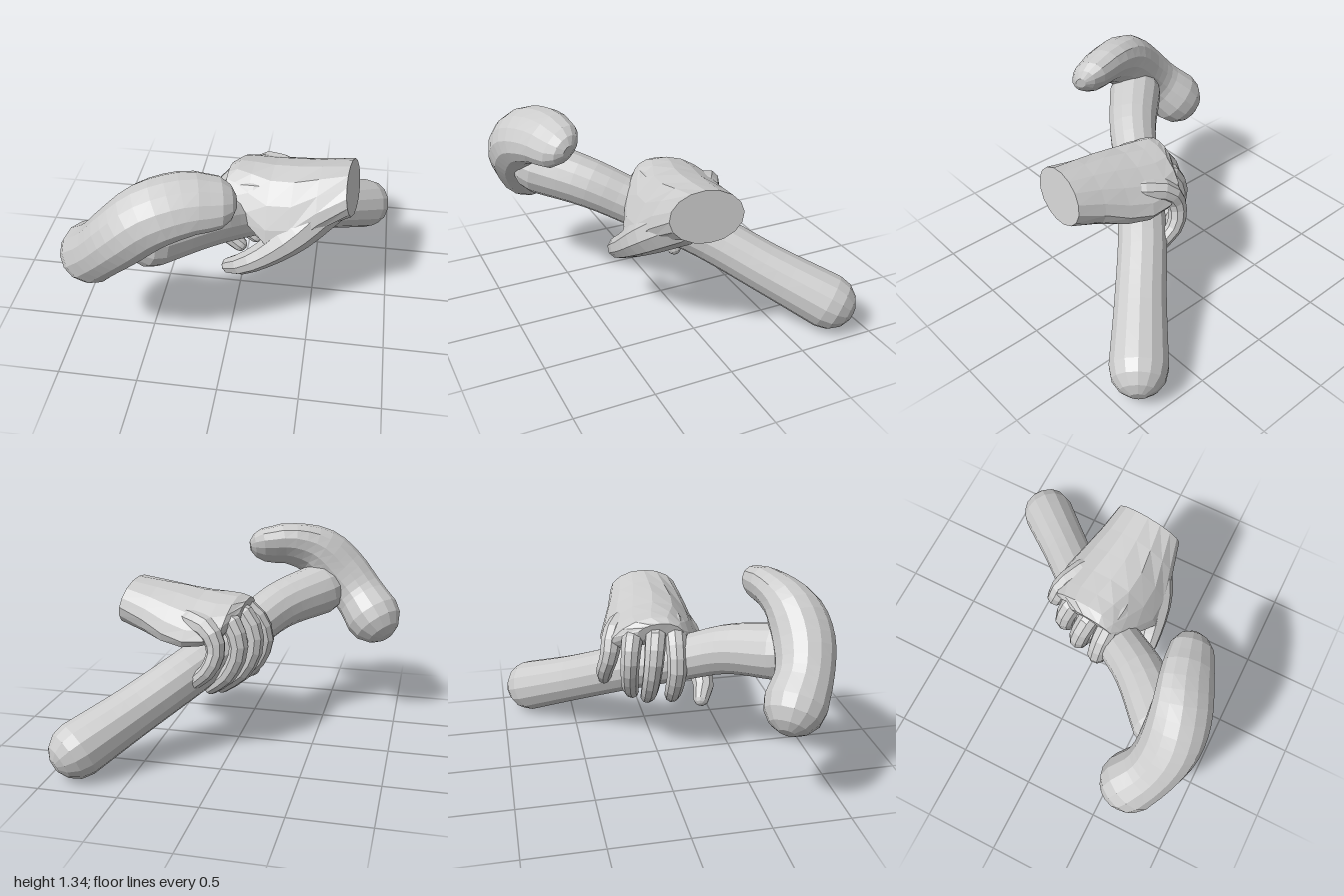
import * as THREE from 'three';

const material = new THREE.MeshStandardMaterial({ color: 0xcccccc, flatShading: true });

// Skin a list of rings (each an equal-length array of Vector3) and close both ends.
function skin(name, rings) {
  const n = rings[0].length, pos = [];
  const tri = (a, b, c) => pos.push(...a.toArray(), ...b.toArray(), ...c.toArray());
  for (let i = 0; i < rings.length - 1; i++) {
    for (let j = 0; j < n; j++) {
      const k = (j + 1) % n, a = rings[i], b = rings[i + 1];
      tri(a[j], a[k], b[j]);
      tri(a[k], b[k], b[j]);
    }
  }
  const middle = (ring) => ring.reduce((s, p) => s.add(p), new THREE.Vector3()).divideScalar(n);
  const first = rings[0], last = rings[rings.length - 1];
  const c0 = middle(first), c1 = middle(last);
  for (let j = 0; j < n; j++) {
    const k = (j + 1) % n;
    tri(c0, first[k], first[j]);
    tri(c1, last[j], last[k]);
  }
  const g = new THREE.BufferGeometry();
  g.setAttribute('position', new THREE.Float32BufferAttribute(pos, 3));
  g.computeVertexNormals();
  const mesh = new THREE.Mesh(g, material);
  mesh.name = name;
  return mesh;
}

// Round-ended limb through points [x, y, z, radius].
// flatten: the far end is squeezed along the y-z diagonal by this share.
function limb(name, points, steps, sides, flatten = 0) {
  const curve = new THREE.CatmullRomCurve3(points.map((p) => new THREE.Vector3(p[0], p[1], p[2])));
  const radii = new THREE.CatmullRomCurve3(points.map((p, i) => new THREE.Vector3(p[3], i, 0)));
  const { tangents, normals, binormals } = curve.computeFrenetFrames(steps);
  const diagonal = new THREE.Vector3(0, 0.75, 0.66);
  const rings = [];
  const ring = (i, lift, scale) => {
    const t = curve.getUtoTmapping(i / steps);
    const r = radii.getPoint(t).x;
    const c = curve.getPoint(t).addScaledVector(tangents[i], lift * r);
    const squeeze = flatten * THREE.MathUtils.smoothstep(t, 0.35, 0.85);
    rings.push(Array.from({ length: sides }, (_, j) => {
      const a = (j / sides) * Math.PI * 2;
      const d = normals[i].clone().multiplyScalar(Math.cos(a) * r * scale)
        .addScaledVector(binormals[i], Math.sin(a) * r * scale);
      return d.addScaledVector(diagonal, -squeeze * d.dot(diagonal)).add(c);
    }));
  };
  const cap = [1.3, 0.9, 0.45];
  cap.forEach((a) => ring(0, -Math.sin(a), Math.cos(a)));
  for (let i = 0; i <= steps; i++) ring(i, 0, 1);
  cap.reverse().forEach((a) => ring(steps, Math.sin(a), Math.cos(a)));
  return skin(name, rings);
}

// Palm: arched oval sections from the knuckles to the cut wrist.
function palm() {
  // x, centre y, half height, centre z, half width, arch
  const sections = [
    [-0.05, 0.91, 0.065, 0.01, 0.15, 0.6],
    [0.02, 0.9, 0.1, -0.04, 0.26, 1],
    [0.12, 0.88, 0.125, -0.025, 0.315, 1],
    [0.25, 0.865, 0.15, 0.01, 0.345, 1],
    [0.4, 0.865, 0.17, 0.035, 0.325, 0.9],
    [0.55, 0.885, 0.165, 0.04, 0.275, 0.5],
    [0.72, 0.915, 0.155, 0.04, 0.23, 0],
  ];
  const sides = 16;
  return skin('palm', sections.map(([x, cy, ry, cz, rz, arch]) =>
    Array.from({ length: sides }, (_, j) => {
      const a = (j / sides) * Math.PI * 2;
      const y = Math.cos(a) * ry, z = cz + Math.sin(a) * rz;
      const drop = arch * (z > 0.05 ? 2.4 : 0.7) * (z - 0.05) ** 2;
      return new THREE.Vector3(x - 0.2 * y - 0.12 * (z - cz), cy + y - drop, z);
    })));
}

export function createModel() {
  const model = new THREE.Group();
  model.name = 'handOnCane';

  // Stick with a curved grip across its upper end
  const cane = new THREE.Group();
  cane.name = 'cane';
  cane.add(
    limb('shaft', [
      [0.82, 0.18, -0.79, 0.18], [0.55, 0.345, -0.5, 0.162], [0.27, 0.525, -0.2, 0.157],
      [-0.03, 0.715, 0.2, 0.15], [-0.19, 0.82, 0.42, 0.16], [-0.43, 0.89, 0.67, 0.18],
    ], 22, 14),
    limb('grip', [
      [-0.805, 0.72, 0.66, 0.193], [-0.7, 0.84, 0.74, 0.178], [-0.56, 0.99, 0.78, 0.19],
      [-0.39, 1.135, 0.765, 0.2], [-0.2, 1.19, 0.71, 0.19], [-0.09, 1.185, 0.68, 0.17],
    ], 14, 14, 0.34),
  );

  // Hand wrapped over the shaft
  const hand = new THREE.Group();
  hand.name = 'hand';
  const fingers = {
    indexFinger: [[0.12, 0.89, 0.13, 0.075], [-0.05, 0.86, 0.11, 0.07], [-0.15, 0.69, 0.1, 0.064],
      [-0.09, 0.51, 0.09, 0.058], [0.01, 0.42, 0.1, 0.05]],
    middleFinger: [[0.12, 0.9, 0.02, 0.075], [-0.04, 0.87, -0.02, 0.07], [-0.115, 0.7, -0.05, 0.064],
      [-0.04, 0.5, -0.06, 0.058], [0.1, 0.38, -0.05, 0.048]],
    ringFinger: [[0.14, 0.89, -0.1, 0.075], [0.02, 0.86, -0.16, 0.07], [-0.045, 0.7, -0.19, 0.062],
      [0.03, 0.51, -0.18, 0.056], [0.15, 0.4, -0.145, 0.046]],
    littleFinger: [[0.26, 0.86, -0.2, 0.08], [0.13, 0.83, -0.275, 0.072], [0.075, 0.72, -0.305, 0.062],
      [0.11, 0.6, -0.335, 0.056], [0.22, 0.49, -0.32, 0.046]],
    thumb: [[0.56, 0.83, 0.12, 0.145], [0.38, 0.68, 0.26, 0.12], [0.2, 0.54, 0.32, 0.088],
      [0.06, 0.45, 0.33, 0.072], [-0.025, 0.395, 0.295, 0.055]],
  };
  hand.add(palm());
  for (const [name, points] of Object.entries(fingers)) hand.add(limb(name, points, 9, 9));

  model.add(cane, hand);
  return model;
}
